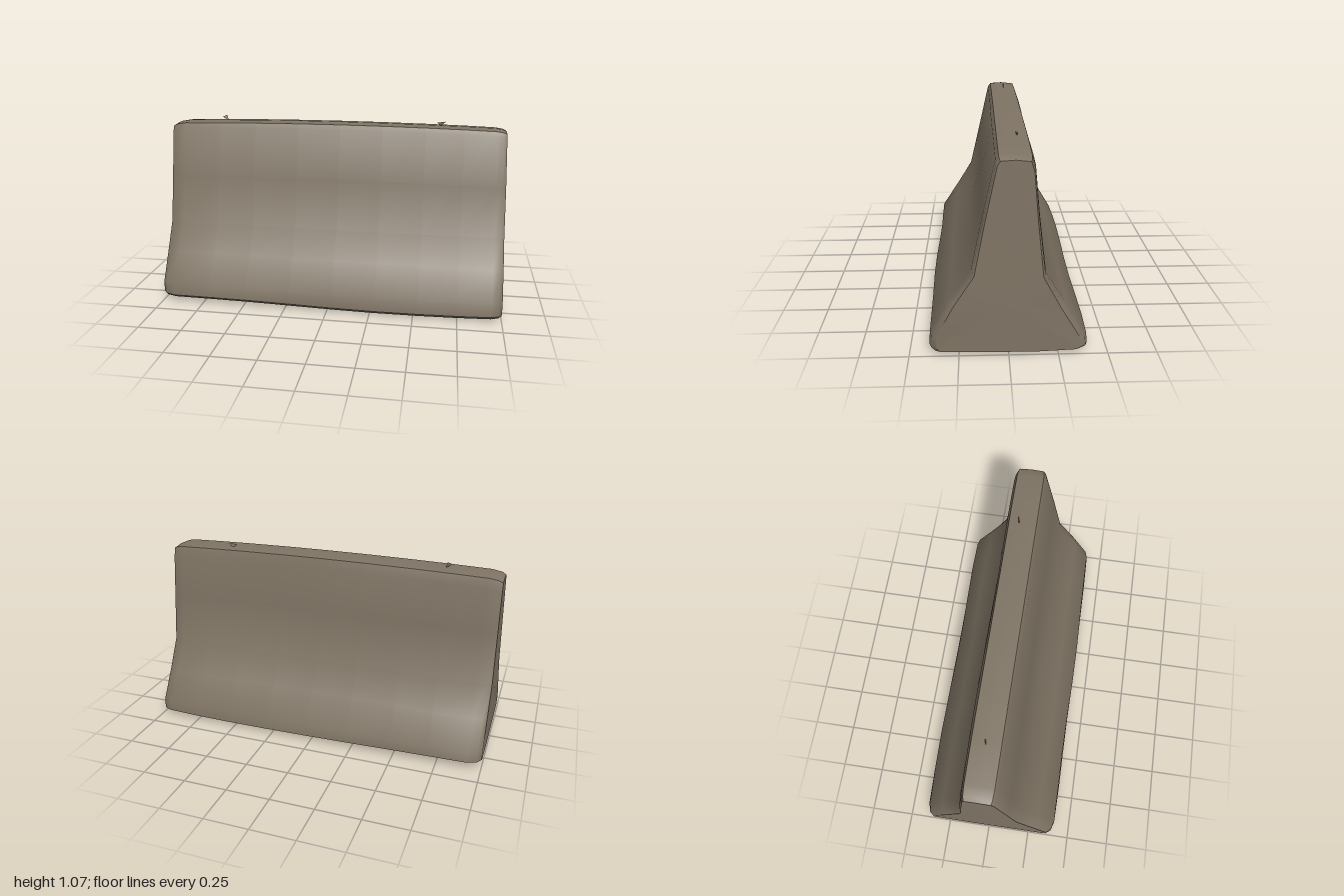
import * as THREE from 'three';
import { toCreasedNormals } from 'three/addons/utils/BufferGeometryUtils.js';

// Cross-section as [z, y], from the front base up, over the top and down the back
const PROFILE = [
  [0.385, 0.015], [0.407, 0.035], [0.403, 0.115], [0.3, 0.28], [0.193, 0.44], [0.13, 0.73],
  [0.066, 1.02], [0.05, 1.043], [-0.03, 1.048], [-0.11, 1.04], [-0.125, 0.99], [-0.15, 0.73],
  [-0.182, 0.43], [-0.29, 0.26], [-0.395, 0.09], [-0.403, 0.03], [-0.375, 0.015],
  [-0.13, 0.005], [0.15, 0.01],
];
// Stations along the length as [x, width factor, edge inset]
const STATIONS = [
  [-0.998, 0.88, 0.03], [-0.975, 0.95, 0.012], [-0.92, 0.99, 0], [-0.7, 1, 0], [-0.48, 1, 0],
  [-0.22, 1, 0], [0.03, 1, 0], [0.28, 1, 0], [0.53, 1, 0], [0.75, 1, 0],
  [0.94, 0.99, 0], [0.98, 0.96, 0.008], [1, 0.9, 0.022],
];

function surface(points, faces) {
  const geometry = new THREE.BufferGeometry();
  geometry.setAttribute('position', new THREE.Float32BufferAttribute(points.flat(), 3));
  geometry.setIndex(faces.flat());
  return geometry;
}

// Worn concrete body, lofted through the stations
function bodyGeometry() {
  const points = [], faces = [];
  const n = PROFILE.length, last = STATIONS.length - 1;
  for (const [x, width, inset] of STATIONS) {
    for (const [z, y] of PROFILE) {
      const top = THREE.MathUtils.smoothstep(y, 0.5, 1.04);
      const low = 1 - THREE.MathUtils.smoothstep(y, 0.02, 0.12);
      const lean = x > 0.9 ? -0.012 * top : 0;
      const wear = 0.006 * Math.sin(5 * x + 7 * y) * Math.sin(9 * y);
      const pivot = -0.03 * top;
      const yy = y - top * (0.016 * x * x + inset * 0.6)
        + low * (0.008 - 0.01 * Math.sin(2.6 * x + 0.6) + inset * 0.25);
      points.push([x + lean, Math.max(yy, 0), pivot + (z - pivot) * width + wear]);
    }
  }
  for (let i = 0; i < last; i++) {
    for (let j = 0; j < n; j++) {
      const x = STATIONS[i][0];
      // Opening under the front of the base
      if (j === n - 1 && x > -0.5 && x < 0.5) continue;
      const k = (j + 1) % n;
      const a = i * n + j, b = i * n + k, c = b + n, d = a + n;
      faces.push([a, d, c], [a, c, b]);
    }
  }
  // End faces
  const left = points.push([-1, 0.3, 0]) - 1;
  const right = points.push([1, 0.3, 0]) - 1;
  for (let j = 0; j < n; j++) {
    const k = (j + 1) % n;
    faces.push([left, j, k], [right, last * n + k, last * n + j]);
  }
  return toCreasedNormals(surface(points, faces), 0.75);
}

export function createModel() {
  const concrete = new THREE.MeshStandardMaterial({ color: 0x7f7464 });
  concrete.name = 'weathered concrete';
  concrete.side = THREE.DoubleSide;

  const model = new THREE.Group();
  model.name = 'concreteBarrier';
  const add = (name, geometry) => {
    const mesh = new THREE.Mesh(geometry, concrete);
    mesh.name = name;
    model.add(mesh);
  };

  add('barrierBody', bodyGeometry());

  // Small loose chips on the top edge
  const chips = [
    [[-0.71, 1.06, -0.03], [-0.675, 1.033, -0.035], [-0.685, 1.07, -0.04]],
    [[0.59, 1.055, -0.045], [0.61, 1.035, -0.055], [0.64, 1.06, -0.06]],
  ];
  for (const corners of chips) {
    const chip = surface(corners, [[0, 1, 2]]);
    chip.computeVertexNormals();
    add('topChip', chip);
  }
  return model;
}
